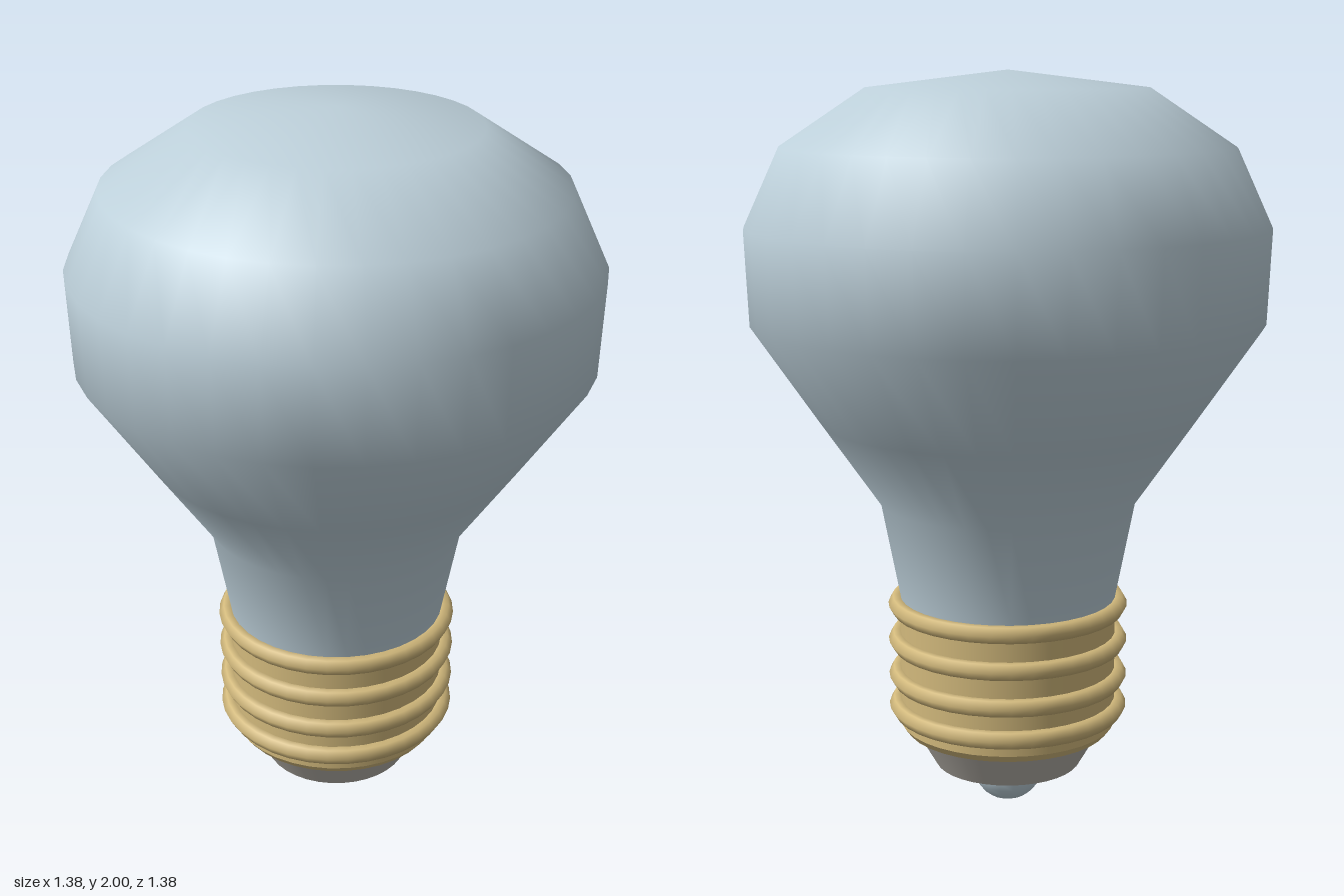
import * as THREE from 'three';

const SIDES = 36;

export function createModel() {
  const model = new THREE.Group();
  model.name = 'lightBulb';

  const material = (name, color) => {
    const m = new THREE.MeshStandardMaterial({ color });
    m.name = name;
    return m;
  };
  const glass = material('pale blue glass', 0xbdd0da);
  const brass = material('brass', 0xd2b97c);
  const ceramic = material('grey insulator', 0xb5b0a8);

  const add = (name, geometry, mat, y = 0) => {
    const mesh = new THREE.Mesh(geometry, mat);
    mesh.name = name;
    mesh.position.y = y;
    model.add(mesh);
    return mesh;
  };

  // Glass envelope, neck to crown
  const profile = [
    [0.29, 0.57], [0.295, 0.6], [0.345, 0.86], [0.5, 1.085], [0.68, 1.35],
    [0.69, 1.6], [0.595, 1.805], [0.37, 1.955], [0, 2],
  ].map(([r, y]) => new THREE.Vector2(r, y));
  const envelope = new THREE.LatheGeometry(profile, SIDES);
  // The crown's centre points straight up
  for (let i = profile.length - 1; i < envelope.attributes.normal.count; i += profile.length) {
    envelope.attributes.normal.setXYZ(i, 0, 1, 0);
  }
  add('glassEnvelope', envelope, glass);

  // Screw base: sleeve, chamfered lower rim and thread ridges
  add('screwSleeve', new THREE.CylinderGeometry(0.295, 0.295, 0.355, SIDES), brass, 0.4125);
  add('sleeveRim', new THREE.CylinderGeometry(0.295, 0.28, 0.02, SIDES), brass, 0.225);
  for (const y of [0.285, 0.373, 0.473, 0.573]) {
    const ridge = add('threadRidge', new THREE.TorusGeometry(0.302, 0.025, 6, SIDES), brass, y);
    ridge.rotation.x = Math.PI / 2;
  }

  // Insulator and rounded bottom contact
  add('insulator', new THREE.CylinderGeometry(0.258, 0.2, 0.1, SIDES), ceramic, 0.165);
  add('bottomContact', new THREE.SphereGeometry(0.1, 16, 12), glass, 0.1);

  return model;
}
